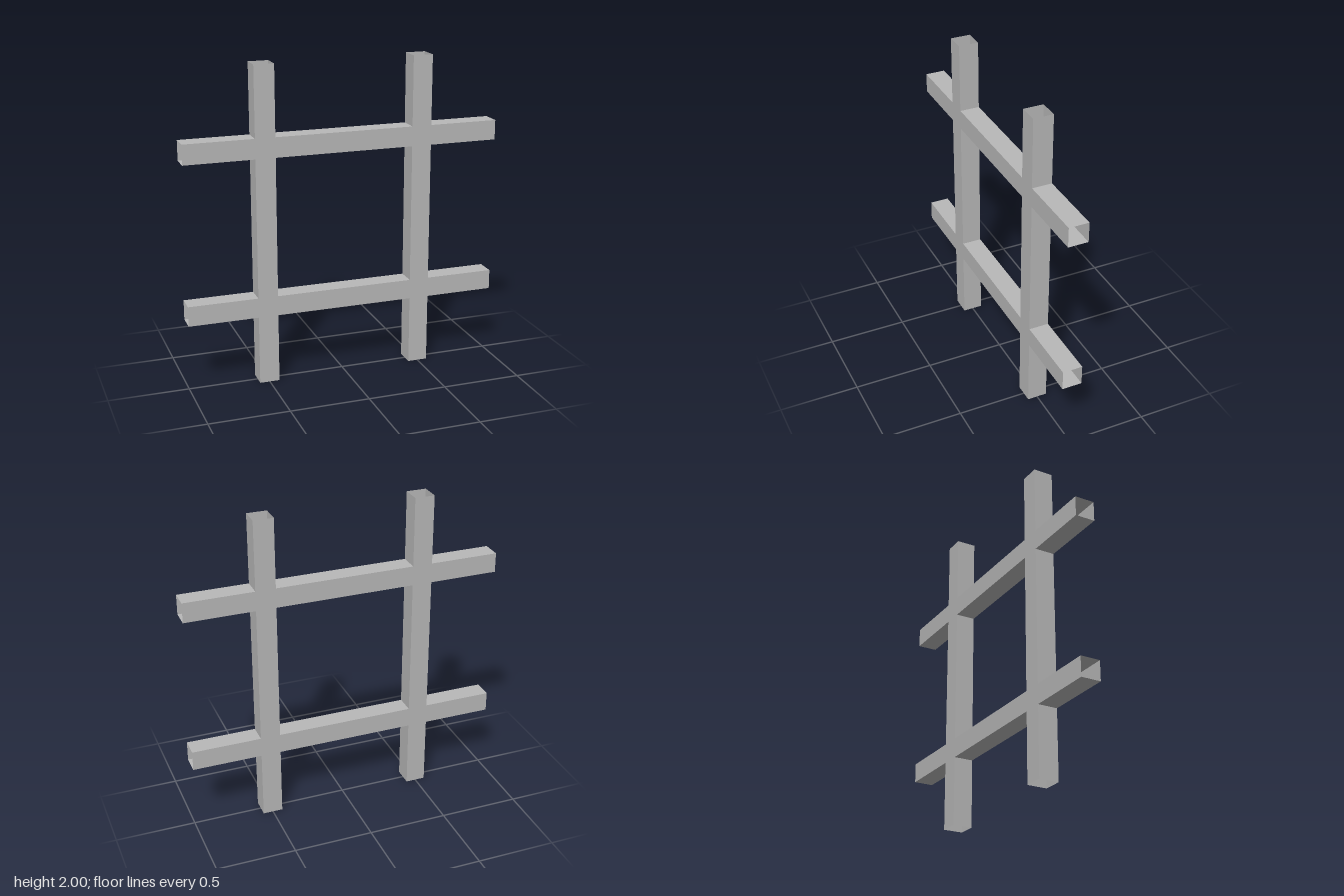
import * as THREE from 'three';

const INNER = 0.4375, OUTER = 0.5625, END = 1; // tube sides and tube ends
const HALF = 0.0625; // half the tube thickness

// Outline of the four crossing bars, one side repeated by quarter turns
function latticeShape() {
  const side = [
    [OUTER, -OUTER], [END, -OUTER], [END, -INNER], [OUTER, -INNER],
    [OUTER, INNER], [END, INNER], [END, OUTER],
  ];
  const points = [];
  const centre = new THREE.Vector2();
  for (let k = 0; k < 4; k++) {
    for (const [x, y] of side) {
      points.push(new THREE.Vector2(x, y).rotateAround(centre, k * Math.PI / 2));
    }
  }
  const shape = new THREE.Shape(points);
  shape.holes.push(new THREE.Path([
    new THREE.Vector2(-INNER, -INNER), new THREE.Vector2(-INNER, INNER),
    new THREE.Vector2(INNER, INNER), new THREE.Vector2(INNER, -INNER),
  ]));
  return shape;
}

export function createModel() {
  const model = new THREE.Group();
  model.name = 'tubeLattice';
  const grey = new THREE.MeshStandardMaterial({ color: 0xb8b8b8, side: THREE.DoubleSide });
  grey.name = 'grey';

  const lattice = new THREE.Group();
  lattice.name = 'lattice';
  lattice.position.y = 1;
  model.add(lattice);

  // Front and back faces
  const face = new THREE.ShapeGeometry(latticeShape());
  for (const [name, turn] of [['frontFace', 0], ['backFace', Math.PI]]) {
    const mesh = new THREE.Mesh(face, grey);
    mesh.name = name;
    mesh.rotation.y = turn;
    mesh.translateZ(HALF);
    lattice.add(mesh);
  }

  // Side walls, left open at the tube ends and through the crossings
  const spans = [[-END, -OUTER], [-INNER, INNER], [OUTER, END]];
  const walls = [[-OUTER, -1], [-INNER, 1], [INNER, -1], [OUTER, 1]];
  for (const [name, turn] of [['horizontalBarWalls', 0], ['verticalBarWalls', Math.PI / 2]]) {
    const group = new THREE.Group();
    group.name = name;
    group.rotation.z = turn;
    for (const [y, facing] of walls) {
      for (const [start, end] of spans) {
        const geometry = new THREE.PlaneGeometry(end - start, 2 * HALF);
        geometry.rotateX(-facing * Math.PI / 2);
        const wall = new THREE.Mesh(geometry, grey);
        wall.name = 'barWall';
        wall.position.set((start + end) / 2, y, 0);
        group.add(wall);
      }
    }
    lattice.add(group);
  }
  return model;
}
